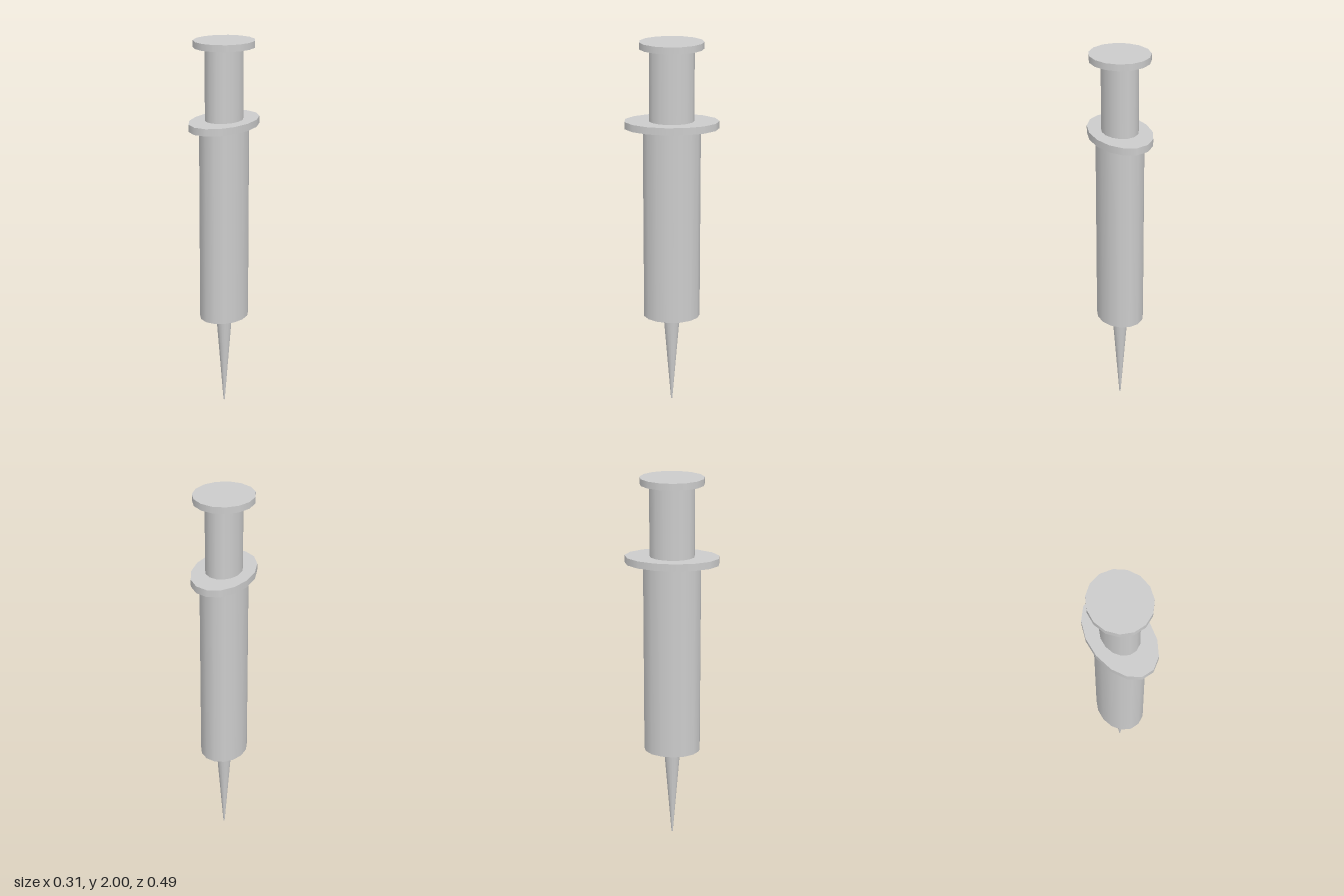
import * as THREE from 'three';

const SIDES = 15;

export function createModel() {
  const model = new THREE.Group();
  const material = new THREE.MeshStandardMaterial({ color: 0xcccccc });

  // Upright oval cylinder from y0 to y1, with half-widths rx and rz;
  // taper is the bottom size relative to the top
  const addOval = (name, y0, y1, rx, rz, taper = 1) => {
    const geometry = new THREE.CylinderGeometry(1, taper, y1 - y0, SIDES, 1, false, Math.PI);
    geometry.scale(rx, 1, rz);
    geometry.translate(0, (y0 + y1) / 2, 0);
    const mesh = new THREE.Mesh(geometry, material);
    mesh.name = name;
    model.add(mesh);
  };

  addOval('needle', 0, 0.505, 0.043, 0.045, 0.08);
  addOval('barrel', 0.505, 1.55, 0.123, 0.152);
  addOval('fingerFlange', 1.55, 1.588, 0.158, 0.248);
  addOval('plungerRod', 1.588, 1.965, 0.094, 0.118);
  addOval('thumbRest', 1.965, 2, 0.158, 0.167);

  // The whole body is turned slightly about its axis
  model.rotation.y = THREE.MathUtils.degToRad(-3.5);
  return model;
}
